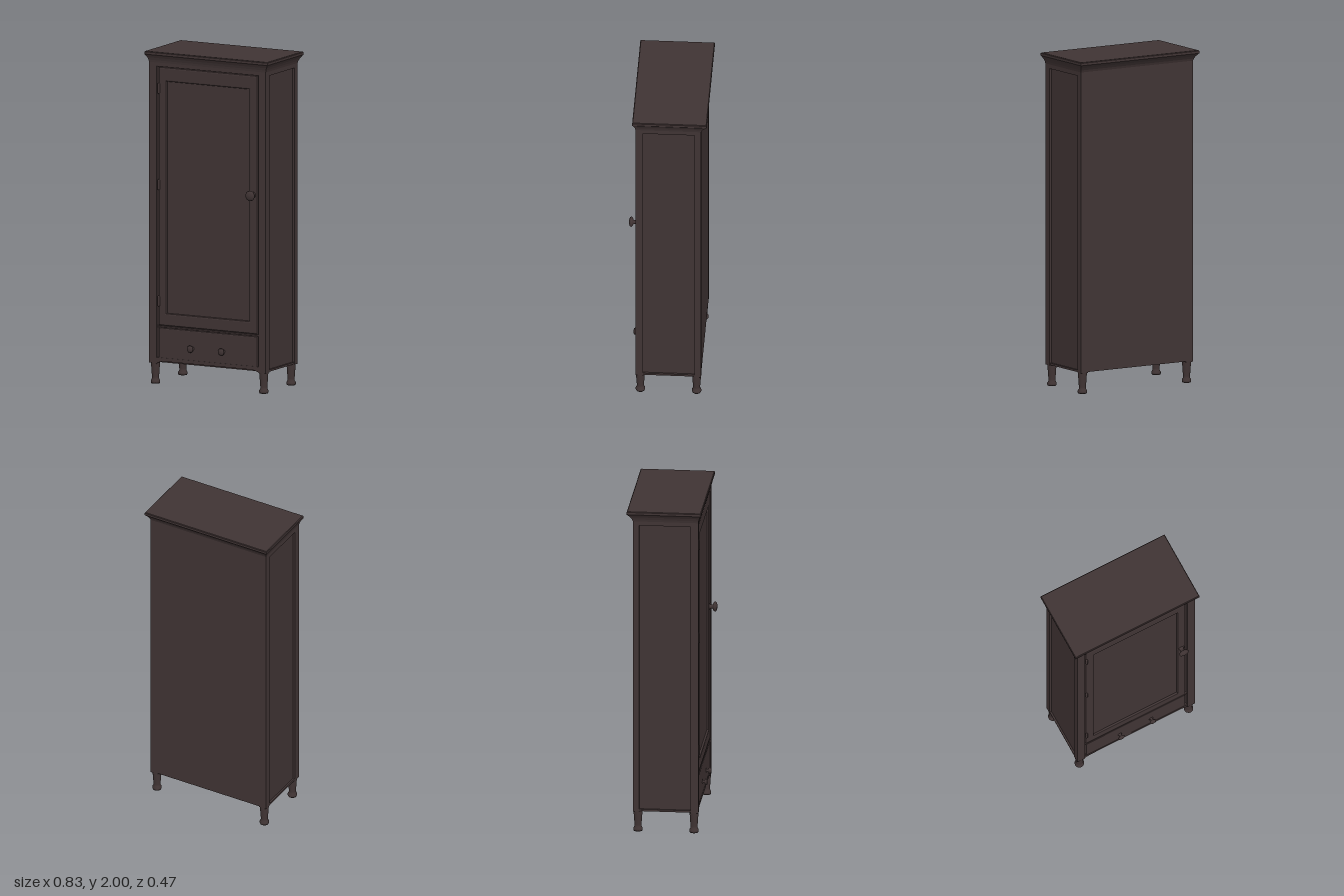
import * as THREE from 'three';

export function createModel() {
  const model = new THREE.Group();
  const darkWood = new THREE.MeshStandardMaterial({ color: 0x403434 });
  darkWood.name = 'darkWood';

  const add = (name, geo, x = 0, y = 0, z = 0) => {
    const mesh = new THREE.Mesh(geo, darkWood);
    mesh.name = name;
    mesh.position.set(x, y, z);
    model.add(mesh);
    return mesh;
  };
  // Box given by its lower and upper limits
  const box = (name, x0, x1, y0, y1, z0, z1) =>
    add(name, new THREE.BoxGeometry(x1 - x0, y1 - y0, z1 - z0),
      (x0 + x1) / 2, (y0 + y1) / 2, (z0 + z1) / 2);
  const rect = (Type, x0, x1, y0, y1) => new Type([
    [x0, y0], [x1, y0], [x1, y1], [x0, y1]].map(p => new THREE.Vector2(...p)));
  const lathe = (pts, n = 24) =>
    new THREE.LatheGeometry(pts.map(p => new THREE.Vector2(...p)), n);

  // Carcass with recessed sides
  box('carcass', -0.382, 0.382, 0.13, 1.96, -0.199, 0.17);

  // Corner posts, side rails and turned legs
  const leg = [[0, 0], [0.025, 0], [0.028, 0.006], [0.028, 0.016], [0.021, 0.028],
    [0.021, 0.04], [0.024, 0.08], [0.027, 0.125], [0.027, 0.14]];
  for (const s of [-1, 1]) {
    const side = s < 0 ? 'right' : 'left';
    const span = (name, a, b, ...rest) =>
      box(side + name, Math.min(s * a, s * b), Math.max(s * a, s * b), ...rest);
    span('FrontPost', 0.345, 0.395, 0.125, 1.96, 0.145, 0.19);
    span('BackPost', 0.345, 0.395, 0.125, 1.96, -0.2, -0.162);
    span('TopRail', 0.37, 0.395, 1.91, 1.96, -0.17, 0.15);
    span('BottomRail', 0.37, 0.393, 0.128, 0.14, -0.17, 0.15);
    add(side + 'FrontLeg', lathe(leg), s * 0.367, 0, 0.162);
    add(side + 'BackLeg', lathe(leg), s * 0.367, 0, -0.172);
  }

  // Rails across the front
  box('frontTopRail', -0.35, 0.35, 1.912, 1.96, 0.16, 0.187);
  box('middleRail', -0.35, 0.35, 0.343, 0.352, 0.16, 0.184);

  // Front apron with curved ends
  const apron = new THREE.Shape();
  apron.moveTo(-0.35, 0.12);
  apron.quadraticCurveTo(-0.33, 0.139, -0.28, 0.139);
  apron.lineTo(0.28, 0.139);
  apron.quadraticCurveTo(0.33, 0.139, 0.35, 0.12);
  apron.lineTo(0.35, 0.16);
  apron.lineTo(-0.35, 0.16);
  add('apron', new THREE.ExtrudeGeometry(apron,
    { depth: 0.03, bevelEnabled: false, curveSegments: 8 }), 0, 0, 0.157);

  // Door frame with a bevelled opening around the recessed panel
  const frame = rect(THREE.Shape, -0.326, 0.326, 0.363, 1.9);
  frame.holes.push(rect(THREE.Path, -0.29, 0.29, 0.42, 1.833));
  add('doorFrame', new THREE.ExtrudeGeometry(frame, {
    depth: 0.014, bevelThickness: 0.007, bevelSize: 0.009, bevelSegments: 2,
  }), 0, 0, 0.165);
  box('doorPanel', -0.305, 0.305, 0.4, 1.85, 0.165, 0.173);

  // Drawer front
  add('drawerFront', new THREE.ExtrudeGeometry(
    rect(THREE.Shape, -0.328, 0.328, 0.161, 0.334),
    { depth: 0.013, bevelThickness: 0.006, bevelSize: 0.006, bevelSegments: 2 },
  ), 0, 0, 0.167);

  // Knobs and hinges
  const knob = [[0.02, 0], [0.02, 0.004], [0.012, 0.008], [0.012, 0.022],
    [0.024, 0.027], [0.031, 0.036], [0.027, 0.044], [0.014, 0.049], [0, 0.05]];
  const addKnob = (name, x, y, z, s) => {
    const mesh = add(name, lathe(knob), x, y, z);
    mesh.rotation.x = Math.PI / 2;
    mesh.scale.set(s, s * 0.98, s);
  };
  addKnob('doorKnob', 0.305, 1.19, 0.184, 1);
  addKnob('drawerKnobRight', -0.107, 0.232, 0.184, 0.7);
  addKnob('drawerKnobLeft', 0.103, 0.232, 0.184, 0.7);
  for (const y of [0.5, 1.2, 1.78])
    add('hinge', new THREE.CapsuleGeometry(0.008, 0.05, 4, 10), -0.332, y, 0.187);

  // Cornice built from rectangular loops: [half width, back, front, height]
  const loops = [[0.395, -0.2, 0.19, 1.935], [0.398, -0.205, 0.192, 1.948],
    [0.404, -0.215, 0.197, 1.963], [0.413, -0.229, 0.204, 1.977],
    [0.417, -0.235, 0.208, 1.982], [0.417, -0.235, 0.208, 1.996],
    [0.413, -0.231, 0.204, 2]];
  const corners = loops.map(([w, b, f, y]) =>
    [[-w, y, f], [w, y, f], [w, y, b], [-w, y, b]]);
  const pos = [];
  const quad = (a, b, c, d) => pos.push(...a, ...b, ...c, ...a, ...c, ...d);
  for (let i = 0; i < loops.length - 1; i++)
    for (let j = 0; j < 4; j++) {
      const k = (j + 1) % 4;
      quad(corners[i][j], corners[i][k], corners[i + 1][k], corners[i + 1][j]);
    }
  quad(...corners[loops.length - 1]);
  quad(...corners[0].slice().reverse());
  const cornice = new THREE.BufferGeometry();
  cornice.setAttribute('position', new THREE.Float32BufferAttribute(pos, 3));
  cornice.computeVertexNormals();
  add('cornice', cornice);

  return model;
}
